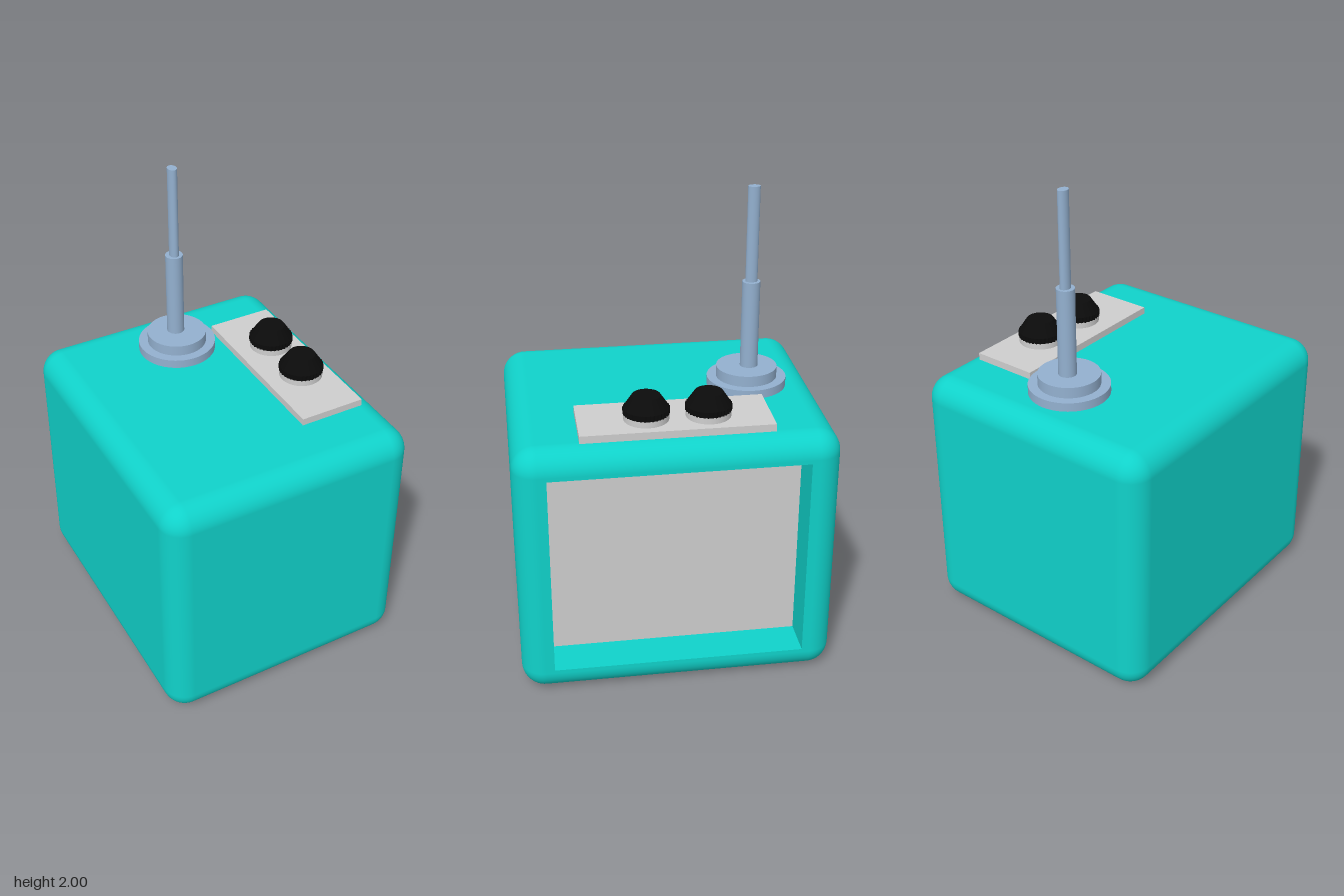
import * as THREE from 'three';
import { RoundedBoxGeometry } from 'three/addons/geometries/RoundedBoxGeometry.js';

const material = (name, color) => {
  const m = new THREE.MeshStandardMaterial({ color });
  m.name = name;
  return m;
};

const W = 1.13, H = 1.13, D = 1.33, R = 0.1; // body size and edge radius
const RECESS = 0.17;

// Rounded box without its flat left (+x) face
function openBody() {
  const box = new RoundedBoxGeometry(W, H, D, 6, R);
  const pos = box.attributes.position, nor = box.attributes.normal;
  const p = [], n = [];
  for (let i = 0; i < pos.count; i += 3) {
    if ([0, 1, 2].every(k => nor.getX(i + k) > 0.999)) continue;
    for (let k = i; k < i + 3; k++) {
      p.push(pos.getX(k), pos.getY(k), pos.getZ(k));
      n.push(nor.getX(k), nor.getY(k), nor.getZ(k));
    }
  }
  const g = new THREE.BufferGeometry();
  g.setAttribute('position', new THREE.Float32BufferAttribute(p, 3));
  g.setAttribute('normal', new THREE.Float32BufferAttribute(n, 3));
  return g;
}

function rectangle(PathType, w, h) {
  return new PathType([[-1, -1], [1, -1], [1, 1], [-1, 1]]
    .map(([x, y]) => new THREE.Vector2(x * w / 2, y * h / 2)));
}

// Fine ribs around the rim of a knob
function ribbedSkirt() {
  const n = 72;
  const g = new THREE.CylinderGeometry(0.096, 0.096, 0.025, n).toNonIndexed();
  const p = g.attributes.position;
  for (let i = 0; i < p.count; i++) {
    const x = p.getX(i), z = p.getZ(i);
    if (Math.hypot(x, z) < 0.01) continue;
    const step = Math.round(Math.atan2(x, z) / (2 * Math.PI) * n);
    const s = step % 2 ? 0.955 : 1;
    p.setX(i, x * s);
    p.setZ(i, z * s);
  }
  g.computeVertexNormals();
  return g;
}

export function createModel() {
  const model = new THREE.Group();
  const teal = material('teal', 0x10d2ca);
  const grey = material('light grey', 0xcecece);
  const blue = material('steel blue', 0x93b0cf);
  const black = material('black', 0x0b0b0b);

  const add = (name, geometry, mat, x, y, z, parent = model) => {
    const mesh = new THREE.Mesh(geometry, mat);
    mesh.name = name;
    mesh.position.set(x, y, z);
    parent.add(mesh);
    return mesh;
  };
  // Upright cylinder between two heights
  const disc = (name, mat, rTop, rBottom, y0, y1, parent) =>
    add(name, new THREE.CylinderGeometry(rTop, rBottom, y1 - y0, 48), mat, 0, (y0 + y1) / 2, 0, parent);

  // Body with a recessed screen in its left side
  add('body', openBody(), teal, 0, H / 2, 0);
  const frame = rectangle(THREE.Shape, D - 2 * R, H - 2 * R);
  frame.holes.push(rectangle(THREE.Path, 1.06, 0.9));
  const frameGeometry = new THREE.ExtrudeGeometry(frame, { depth: RECESS, bevelEnabled: false });
  frameGeometry.rotateY(Math.PI / 2);
  add('screenFrame', frameGeometry, teal, W / 2 - RECESS, H / 2, 0);
  add('screen', new THREE.BoxGeometry(0.008, 0.92, 1.08), grey, W / 2 - RECESS - 0.003, H / 2 + 0.002, 0);

  // Antenna on a stepped foot
  const antenna = new THREE.Group();
  antenna.name = 'antenna';
  antenna.position.z = -0.37;
  model.add(antenna);
  disc('antennaBase', blue, 0.17, 0.17, 1.125, 1.168, antenna);
  disc('antennaStep', blue, 0.13, 0.13, 1.168, 1.215, antenna);
  disc('antennaMast', blue, 0.038, 0.038, 1.215, 1.595, antenna).position.z = -0.01;
  const rod = disc('antennaRod', blue, 0.02, 0.02, 1.595, 2, antenna);
  rod.position.z = -0.01;
  rod.scale.z = 1.28;

  // Control plate with two knobs
  add('controlPlate', new THREE.BoxGeometry(0.288, 0.036, 0.79), grey, 0.335, 1.143, -0.003);
  for (const z of [-0.143, 0.111]) {
    const knob = new THREE.Group();
    knob.name = 'knob';
    knob.position.set(0.352, 0, z);
    model.add(knob);
    disc('knobCollar', grey, 0.093, 0.093, 1.16, 1.188, knob);
    add('knobSkirt', ribbedSkirt(), black, 0, 1.2, 0, knob);
    disc('knobCap', black, 0.058, 0.093, 1.212, 1.265, knob);
  }
  return model;
}
